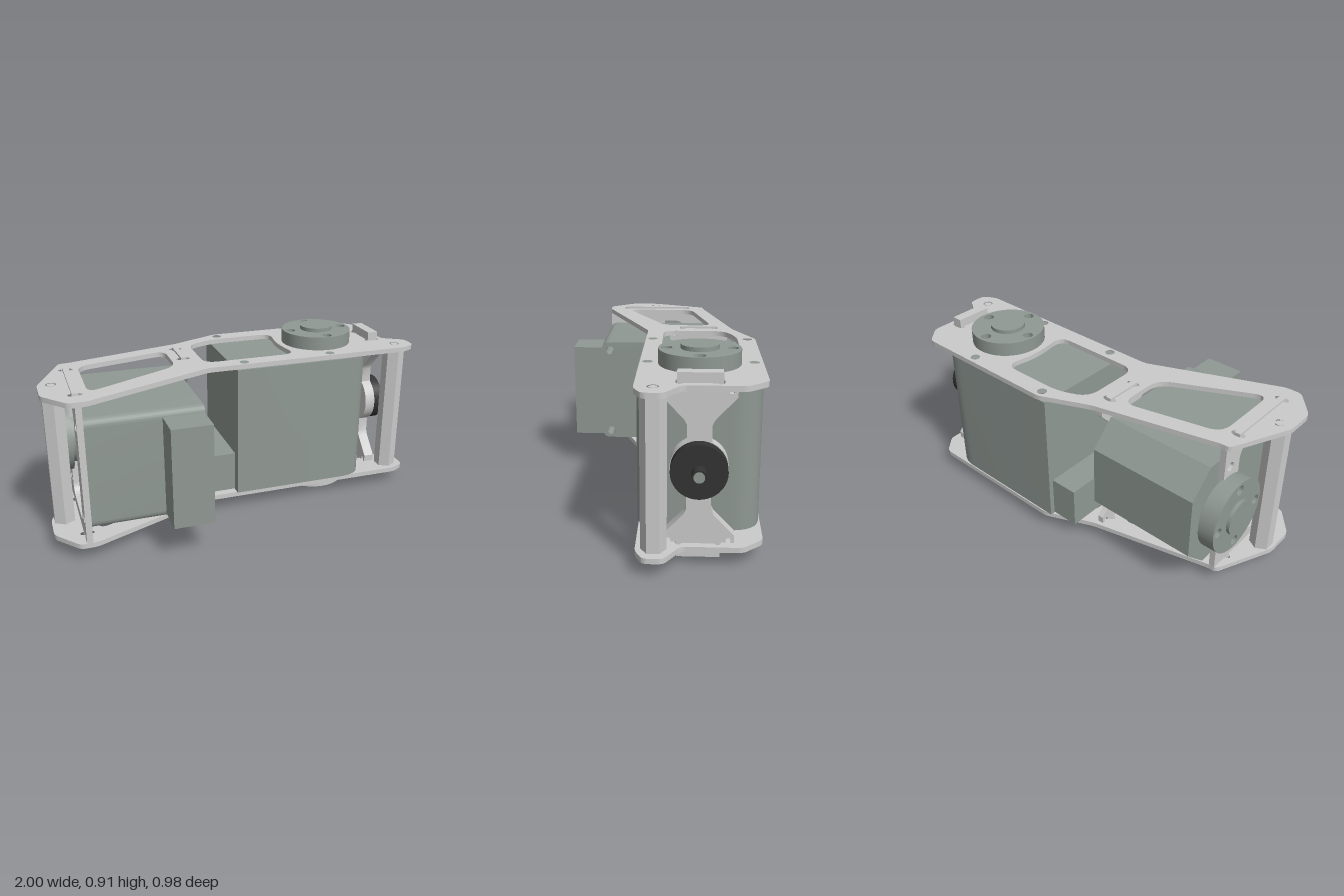
import * as THREE from 'three';
import { toCreasedNormals } from 'three/addons/utils/BufferGeometryUtils.js';

const mat = (color) => new THREE.MeshStandardMaterial({ color });
const AY = 0.445, AZ = -0.205; // shared drive axis height and depth

// Closed path through points, corners rounded by r (a third entry overrides r)
function roundPoly(pts, r = 0, Type = THREE.Path) {
  const path = new Type();
  const n = pts.length;
  pts.forEach((p, i) => {
    const P = new THREE.Vector2(p[0], p[1]);
    const A = new THREE.Vector2(...pts[(i + n - 1) % n].slice(0, 2));
    const B = new THREE.Vector2(...pts[(i + 1) % n].slice(0, 2));
    const rad = p[2] ?? r;
    const toward = (Q) => P.clone().lerp(Q, Math.min(rad / P.distanceTo(Q), 0.49));
    const a = toward(A), b = toward(B);
    if (i === 0) path.moveTo(a.x, a.y); else path.lineTo(a.x, a.y);
    if (rad > 0) path.quadraticCurveTo(P.x, P.y, b.x, b.y);
  });
  path.closePath();
  return path;
}

const circle = (x, y, r, ry = r) => new THREE.Path().absellipse(x, y, r, ry, 0, Math.PI * 2, true);

function extrude(shape, holes, depth) {
  shape.holes.push(...holes);
  return new THREE.ExtrudeGeometry(shape, { depth, bevelEnabled: false, curveSegments: 12 });
}

export function createModel() {
  const root = new THREE.Group();
  const grey = mat(0xcccccc), body = mat(0x909994), black = mat(0x333333);

  const add = (name, geo, material, parent = root) => {
    const mesh = new THREE.Mesh(toCreasedNormals(geo, 0.6), material);
    mesh.name = name;
    parent.add(mesh);
    return mesh;
  };
  // Shape in (x, z), extruded from y0 to y1
  const slabY = (name, shape, holes, y0, y1, m) =>
    add(name, extrude(shape, holes, y1 - y0).rotateX(Math.PI / 2).translate(0, y1, 0), m);
  // Shape in (-z, y), extruded from x0 to x1
  const slabX = (name, shape, holes, x0, x1, m) =>
    add(name, extrude(shape, holes, x1 - x0).rotateY(Math.PI / 2).translate(x0, 0, 0), m);
  const box = (name, x0, x1, y0, y1, z0, z1, m) =>
    add(name, new THREE.BoxGeometry(x1 - x0, y1 - y0, z1 - z0)
      .translate((x0 + x1) / 2, (y0 + y1) / 2, (z0 + z1) / 2), m);

  // Side plates, top and bottom
  const outline = [[-1, 0.2], [-0.89, 0.33], [-0.81, 0.33], [-0.17, 0.065], [0.93, 0.065], [1, 0.03],
    [1, -0.06], [0.89, -0.13], [0.89, -0.4], [0.81, -0.49], [0.02, -0.49], [-0.22, -0.385],
    [-0.83, -0.235], [-0.87, -0.235], [-1, 0.055]];
  const windowA = [[-0.785, -0.165], [-0.315, -0.275], [-0.315, -0.02], [-0.785, 0.215]];
  const windowB = [[-0.165, -0.34], [-0.02, -0.4], [0.33, -0.4], [0.3, -0.22], [0.33, -0.02], [-0.165, -0.02]];
  const posts = [[-0.935, 0.06], [0.91, -0.015]];
  const screws = [[0.03, -0.45], [0.03, 0.03], [0.505, -0.45], [0.505, 0.03]];
  for (const [name, y0] of [['topPlate', 0.79], ['bottomPlate', 0.07]]) {
    const holes = [
      roundPoly(windowA, 0.07), roundPoly(windowB, 0.07),
      ...screws.map(([x, z]) => circle(x, z, 0.024)),
      ...posts.map(([x, z]) => circle(x, z, 0.025)),
      // relief holes at the ends of the tab slots
      ...[[-0.845, -0.13, 0.23, 0.035], [-0.25, -0.29, -0.12, 0.035], [0.828, -0.29, -0.12, 0.042]]
        .flatMap(([x, z0, z1, w]) => [circle(x, z0, w, 0.018), circle(x, z1, w, 0.018)]),
    ];
    slabY(name, roundPoly(outline, 0.025, THREE.Shape), holes, y0, y0 + 0.025, grey);
  }

  // Hexagonal spacer posts with a bolt head in each end
  for (const [x, z] of posts) {
    add('spacerPost', new THREE.CylinderGeometry(0.057, 0.057, 0.695, 6).translate(x, AY - 0.002, z), grey);
    add('spacerBolt', new THREE.CylinderGeometry(0.019, 0.019, 0.743, 20).translate(x, AY - 0.002, z), grey);
  }

  // Waisted cross plates with a ring round the drive axis
  function crossPlate(name, x0, x1, tab, bore) {
    const quarter = [[0.095, tab], [0.095, 0.345], [0.118, 0.345], [0.122, 0.325], [0.138, 0.325], [0.142, 0.345],
      [0.155, 0.345], [0.155, 0.31], [0.065, 0.215], [0.053, 0.19], [0.053, 0.114]];
    for (let i = 1; i < 8; i++) {
      const a = THREE.MathUtils.degToRad(65 - i * 8.6);
      quarter.push([0.125 * Math.cos(a), 0.125 * Math.sin(a)]);
    }
    const flip = (pts, sx, sy) => pts.map(([x, y]) => [x * sx - AZ, y * sy + AY]);
    const back = [...quarter].reverse();
    const pts = [...flip(quarter, 1, 1), ...flip(back, 1, -1), ...flip(quarter, -1, -1), ...flip(back, -1, 1)];
    slabX(name, roundPoly(pts, 0, THREE.Shape), [circle(-AZ, AY, bore)], x0, x1, grey);
  }
  crossPlate('middleCrossPlate', -0.265, -0.235, 0.38, 0.075);
  crossPlate('endCrossPlate', 0.8, 0.855, 0.415, 0.05);

  // Mounting plate of the horizontal motor
  const motorScrews = [[-0.285, 0.21], [-0.285, 0.68], [0.19, 0.21], [0.19, 0.68]];
  const mountPts = [[-0.33, 0.095], [-0.28, 0.095], [-0.27, 0.115], [-0.25, 0.115], [-0.24, 0.095], [-0.24, 0.065],
    [0.14, 0.065], [0.14, 0.095], [0.235, 0.095], [0.235, 0.79], [0.14, 0.79], [0.14, 0.825],
    [-0.24, 0.825], [-0.24, 0.79], [-0.25, 0.77], [-0.27, 0.77], [-0.28, 0.79], [-0.33, 0.79]];
  slabX('motorMountPlate', roundPoly(mountPts, 0, THREE.Shape), [
    roundPoly([[-0.22, 0.15], [0.12, 0.15], [0.12, 0.74], [-0.22, 0.74]], 0.06),
    ...motorScrews.map(([u, y]) => circle(u, y, 0.023)),
  ], -0.86, -0.83, grey);

  // Horizontal motor: rounded front, chamfered back, screw holes through the front
  slabX('horizontalMotor', roundPoly([[-0.33, 0.17, 0.04], [0.3, 0.17], [0.42, 0.29], [0.42, 0.605],
    [0.3, 0.725], [-0.33, 0.725, 0.04]], 0, THREE.Shape),
  motorScrews.slice(0, 2).map(([u, y]) => circle(u, y, 0.023)), -0.83, -0.266, body);
  box('horizontalMotorConnector', -0.47, -0.27, 0.19, 0.695, 0.325, 0.485, body);

  // Vertical motor: rounded outer corners
  slabY('verticalMotor', roundPoly([[-0.02, -0.485], [0.73, -0.485, 0.14], [0.73, 0.075, 0.14], [-0.02, 0.075]],
    0, THREE.Shape), screws.map(([x, z]) => circle(x, z, 0.024)), 0.096, 0.789, body);
  box('verticalMotorConnector', -0.165, -0.02, 0.1, 0.31, -0.46, 0.03, body);

  // Output flange, built along +y from its base: drilled disc with a raised boss
  function flange(name, height, boss, count, holeR, material) {
    const g = new THREE.Group();
    g.name = name;
    const holes = [];
    for (let i = 0; i < count; i++) {
      const a = (i / count) * Math.PI * 2;
      holes.push(circle(0.148 * Math.cos(a), 0.148 * Math.sin(a), holeR));
    }
    const disc = new THREE.Shape().absarc(0, 0, 0.186, 0, Math.PI * 2);
    disc.holes = holes;
    add('flangeDisc', new THREE.ExtrudeGeometry(disc, { depth: height, bevelEnabled: false, curveSegments: 40 })
      .rotateX(-Math.PI / 2), material, g);
    add('flangeBoss', new THREE.CylinderGeometry(0.087, 0.087, height + boss, 40)
      .translate(0, (height + boss) / 2, 0), material, g);
    root.add(g);
    return g;
  }
  flange('topFlange', 0.07, 0.02, 4, 0.025, body).position.set(0.525, 0.815, AZ);
  const bottom = flange('bottomFlange', 0.065, 0, 8, 0.017, grey);
  bottom.position.set(0.525, 0.065, AZ);
  bottom.rotation.x = Math.PI;
  add('bottomNeck', new THREE.CylinderGeometry(0.1, 0.1, 0.04, 32).translate(0.525, 0.075, AZ), body);
  add('bottomHub', new THREE.CylinderGeometry(0.05, 0.05, 0.01, 32).translate(0.525, 0.005, AZ), body);
  const side = flange('sideFlange', 0.08, 0.017, 4, 0.025, body);
  side.position.set(-0.85, AY, AZ);
  side.rotation.z = Math.PI / 2;

  // Cylinders lying on the horizontal drive axis
  const axle = (name, x0, x1, r, m) => add(name,
    new THREE.CylinderGeometry(r, r, x1 - x0, 40).rotateZ(Math.PI / 2).translate((x0 + x1) / 2, AY, AZ), m);
  axle('motorNeck', -0.86, -0.82, 0.15, body);
  axle('innerShaft', -0.27, -0.17, 0.07, body);
  axle('pulley', 0.855, 0.905, 0.122, black);
  axle('pulleyHub', 0.9, 0.958, 0.031, black);
  axle('pulleyShaft', 0.79, 0.962, 0.024, body);
  return root;
}
